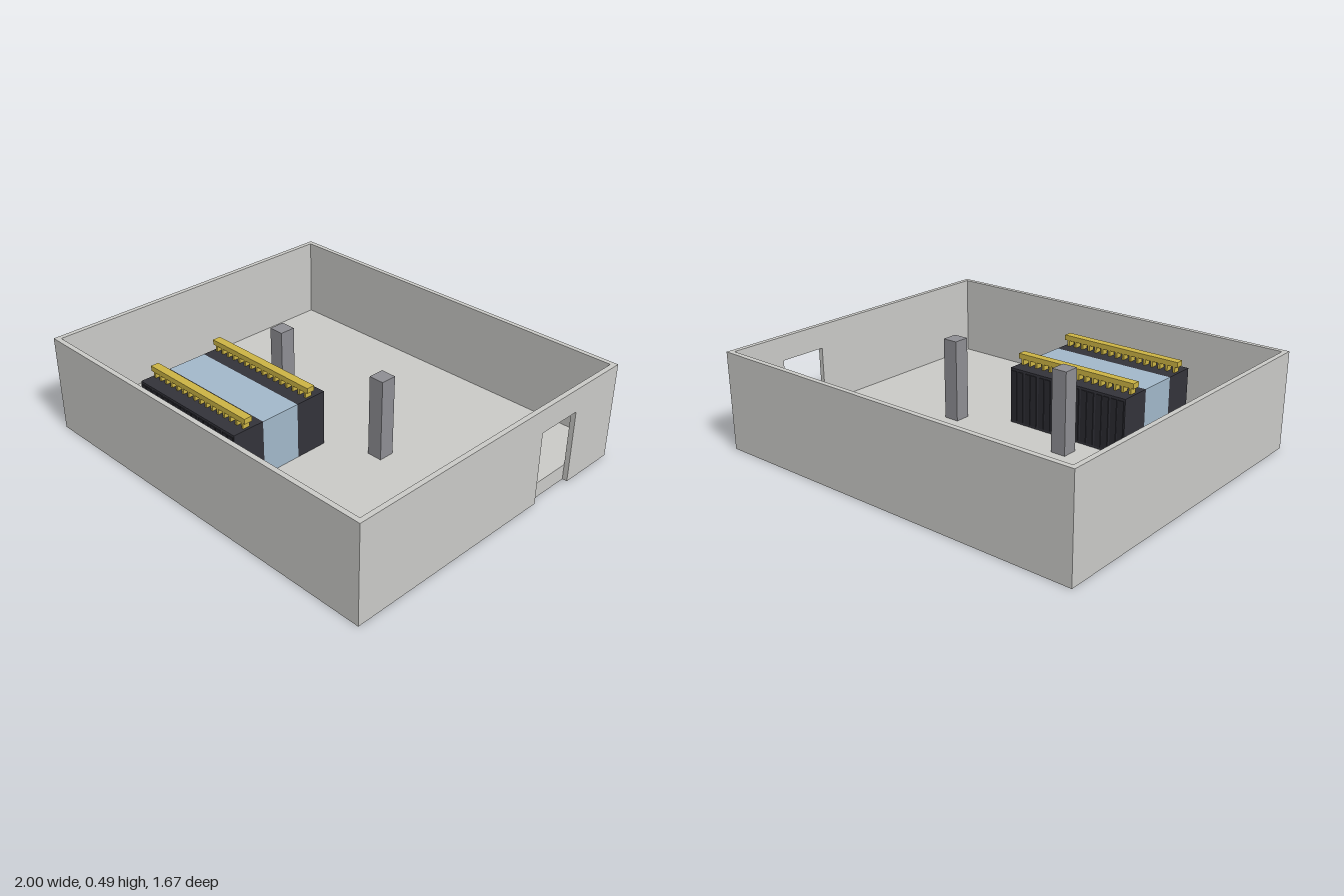
import * as THREE from 'three';

const material = (name, color) => {
  const m = new THREE.MeshStandardMaterial({ color });
  m.name = name;
  return m;
};

export function createModel() {
  const concrete = material('concrete grey', 0xcacac7);
  const pillarGrey = material('pillar grey', 0x8e8e93);
  const rackBlack = material('rack charcoal', 0x33333a);
  const doorBlack = material('rack door black', 0x2a2a30);
  const glassBlue = material('containment blue', 0xa2b8ca);
  const trayYellow = material('tray yellow', 0xccb444);

  const room = new THREE.Group();
  room.name = 'serverRoom';

  // Box given by its minimum and maximum corners
  const box = (parent, name, mat, [x0, y0, z0], [x1, y1, z1]) => {
    const mesh = new THREE.Mesh(new THREE.BoxGeometry(x1 - x0, y1 - y0, z1 - z0), mat);
    mesh.position.set((x0 + x1) / 2, (y0 + y1) / 2, (z0 + z1) / 2);
    mesh.name = name;
    parent.add(mesh);
    return mesh;
  };

  const X = 1, Z = 0.835, H = 0.49, T = 0.025, FLOOR = 0.08;

  // Raised floor inside the walls
  box(room, 'raisedFloor', concrete, [-X + T, 0, -Z + T], [X - T, FLOOR, Z - T]);

  // Walls, all one ring with no seams at the corners
  box(room, 'frontWall', concrete, [-X, 0, Z - T], [X, H, Z]);
  box(room, 'backWall', concrete, [-X, 0, -Z], [X, H, -Z + T]);
  box(room, 'rightWall', concrete, [-X, 0, -Z + T], [-X + T, H, Z - T]);

  // Left wall with its doorway, drawn in (-z, y) and turned to face +x
  const wall = new THREE.Shape();
  [[-Z + T, 0], [0.285, 0], [0.285, 0.37], [0.53, 0.37], [0.53, 0], [Z - T, 0], [Z - T, H], [-Z + T, H]]
    .forEach(([u, v], i) => (i ? wall.lineTo(u, v) : wall.moveTo(u, v)));
  const doorWall = new THREE.Mesh(
    new THREE.ExtrudeGeometry(wall, { depth: T, bevelEnabled: false }), concrete);
  doorWall.rotation.y = Math.PI / 2;
  doorWall.position.x = X - T;
  doorWall.name = 'doorwayWall';
  room.add(doorWall);

  // Two square pillars
  for (const x of [-0.33, 0.326]) {
    box(room, 'pillar', pillarGrey, [x - 0.039, FLOOR, -0.044], [x + 0.039, H - 0.003, 0.036]);
  }

  // Rack rows on both sides of the contained aisle
  const x0 = -0.577, x1 = 0.083, TOP = 0.36, COUNT = 8, W = (x1 - x0) / COUNT;
  const rows = [
    { name: 'backRackRow', z0: 0.12, z1: 0.285, outer: 0.12, out: -1 },
    { name: 'frontRackRow', z0: 0.49, z1: 0.655, outer: 0.655, out: 1 },
  ];
  for (const { name, z0, z1, outer, out } of rows) {
    const row = new THREE.Group();
    row.name = name;
    room.add(row);
    box(row, 'rackBody', rackBlack, [x0, FLOOR, z0], [x1, TOP, z1]);

    // Split doors on the outer face of each cabinet
    for (let i = 0; i < COUNT; i++) {
      for (const half of [0.08, 0.54]) {
        const a = x0 + W * (i + half);
        const zs = [outer, outer + out * 0.004].sort((p, q) => p - q);
        box(row, 'rackDoor', doorBlack, [a, FLOOR + 0.012, zs[0]], [a + W * 0.38, TOP - 0.012, zs[1]]);
      }
    }

    // Cable tray over the row, carried on small feet
    const zc = (z0 + z1) / 2;
    box(row, 'cableTray', trayYellow, [x0, 0.39, zc - 0.021], [x1, 0.416, zc + 0.021]);
    for (let i = 0; i < COUNT * 2; i++) {
      const a = x0 + (W / 2) * (i + 0.5);
      box(row, 'trayFoot', trayYellow, [a - 0.006, TOP, zc - 0.018], [a + 0.006, 0.39, zc + 0.018]);
    }
  }

  // Aisle containment between the rows
  box(room, 'aisleContainment', glassBlue, [x0, FLOOR, 0.285], [x1, TOP, 0.49]);

  return room;
}
